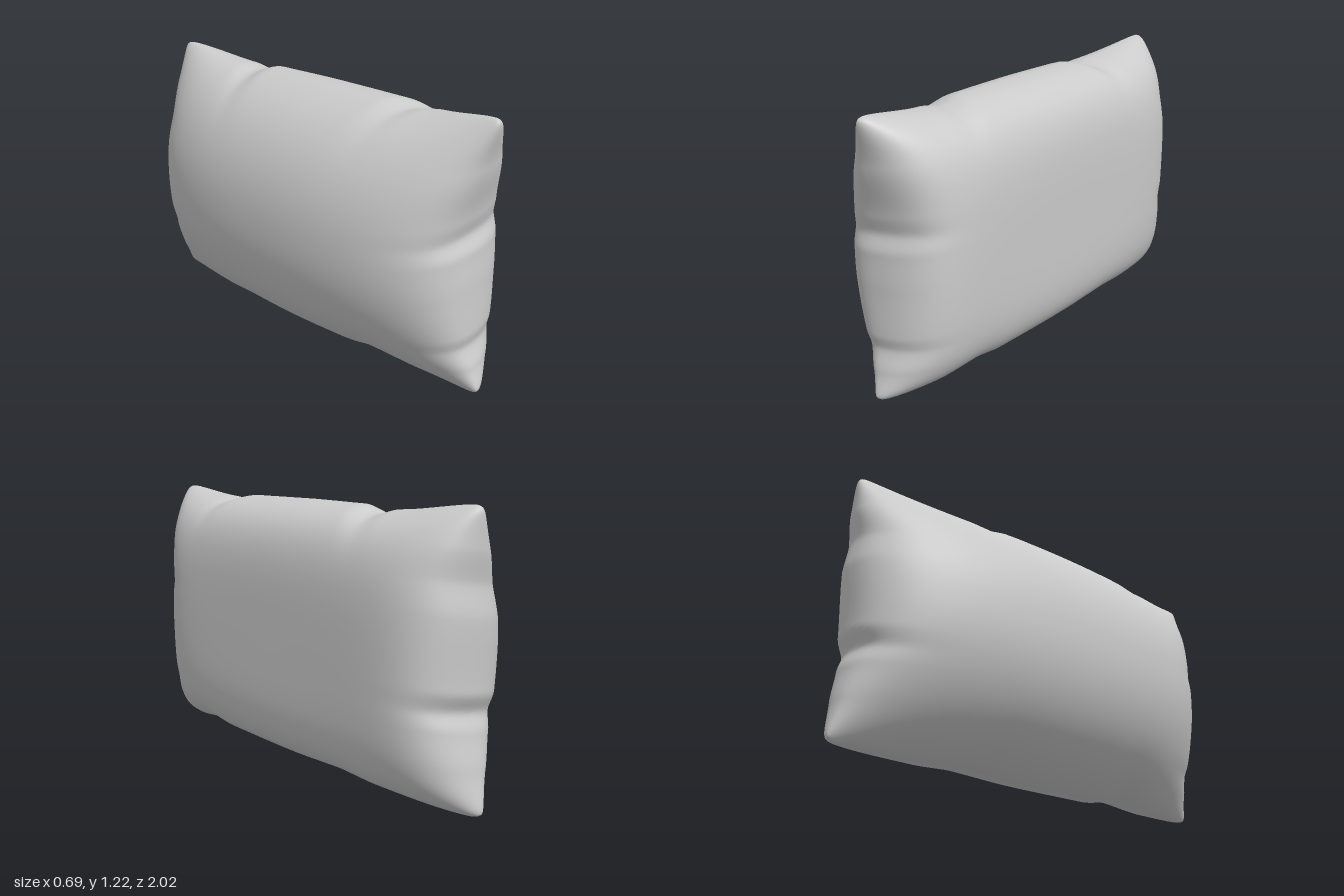
import * as THREE from 'three';
import { mergeGeometries, mergeVertices } from 'three/addons/utils/BufferGeometryUtils.js';

const N = 120;
const SEAM_X = 0.055;

// Inward or outward shift along each edge: [position along edge -1..1, shift]
const frontEdge = [[-1, 0], [-0.8, -0.035], [-0.64, -0.067], [-0.55, -0.057], [-0.2, -0.068], [0.05, -0.08], [0.17, -0.107], [0.3, -0.09], [0.65, -0.045], [1, 0]];
const backEdge = [[-1, 0], [-0.7, 0.03], [-0.45, 0.055], [-0.33, 0.08], [-0.2, 0.045], [0.3, 0.02], [0.5, 0.034], [0.72, 0.01], [1, 0]];
const topEdge = [[-1, 0], [-0.55, -0.045], [-0.45, -0.068], [-0.34, -0.032], [0, -0.028], [0.42, -0.03], [0.53, -0.058], [0.62, -0.042], [1, 0]];
const bottomEdge = [[-1, 0], [-0.5, 0.01], [-0.3, 0.027], [0, 0.017], [0.4, 0.022], [0.54, 0.047], [0.75, 0.015], [1, 0]];

// Eased blend between the listed points
function sample(edge, at) {
  const t = THREE.MathUtils.clamp(at, -1, 1);
  let i = 0;
  while (i < edge.length - 2 && t > edge[i + 1][0]) i++;
  const [a, p] = edge[i], [b, q] = edge[i + 1];
  const k = (t - a) / (b - a);
  return THREE.MathUtils.lerp(p, q, (k + THREE.MathUtils.smoothstep(k, 0, 1)) / 2);
}

const bulge = (t, power, root) => Math.pow(Math.max(0, 1 - Math.pow(Math.abs(t), power)), root);

// One cloth panel; side +1 is the flatter face, side -1 the domed face
function panel(side) {
  const geo = new THREE.PlaneGeometry(2, 2, N, N);
  geo.deleteAttribute('uv');
  geo.deleteAttribute('normal');
  const pos = geo.attributes.position;
  for (let i = 0; i < pos.count; i++) {
    // crowd the rows towards the seam, where the curvature is strongest
    const u = Math.sin(-side * pos.getX(i) * Math.PI / 2);
    const v = Math.sin(pos.getY(i) * Math.PI / 2);

    // stuffing thickness, thinning towards the corners
    const corner = 1 - 0.22 * u * u * v * v;
    const depth = side > 0
      ? 0.288 * bulge(u, 8, 0.5) * bulge(v, v > 0 ? 4.2 : 5.5, 0.5)
      : -0.403 * bulge(u, 2.3, 0.4) * bulge(v, 2.2, 0.65);
    const x = depth * corner;

    // blunt the corner tips
    const blunt = 1 - 0.018 * Math.abs(u * v) ** 40;
    const s = (u * blunt + 1) / 2, h = (v * blunt + 1) / 2;

    // four corners, then slanted puckers at the edges fading inwards
    const wu = Math.abs(u) ** 5, wv = Math.abs(v) ** 5;
    const slantU = u + (u > 0 ? -0.25 : 0.25) * x, slantV = v - 0.25 * x;
    const z = THREE.MathUtils.lerp(-1.015 + 0.04 * h, 0.995 + 0.02 * h, s)
      + wu * sample(u > 0 ? frontEdge : backEdge, slantV);
    const y = THREE.MathUtils.lerp(-0.005 + 0.035 * s, 1.227, h)
      + wv * sample(v > 0 ? topEdge : bottomEdge, slantU);
    pos.setXYZ(i, SEAM_X + x, y, z);
  }
  return geo;
}

export function createModel() {
  const group = new THREE.Group();
  group.name = 'pillow';
  // both panels are welded along the seam for smooth shading
  const geo = mergeVertices(mergeGeometries([panel(1), panel(-1)]), 1e-4);
  geo.computeVertexNormals();
  const cushion = new THREE.Mesh(geo, new THREE.MeshStandardMaterial({ color: 0xcccccc }));
  cushion.name = 'cushion';
  group.add(cushion);
  return group;
}
